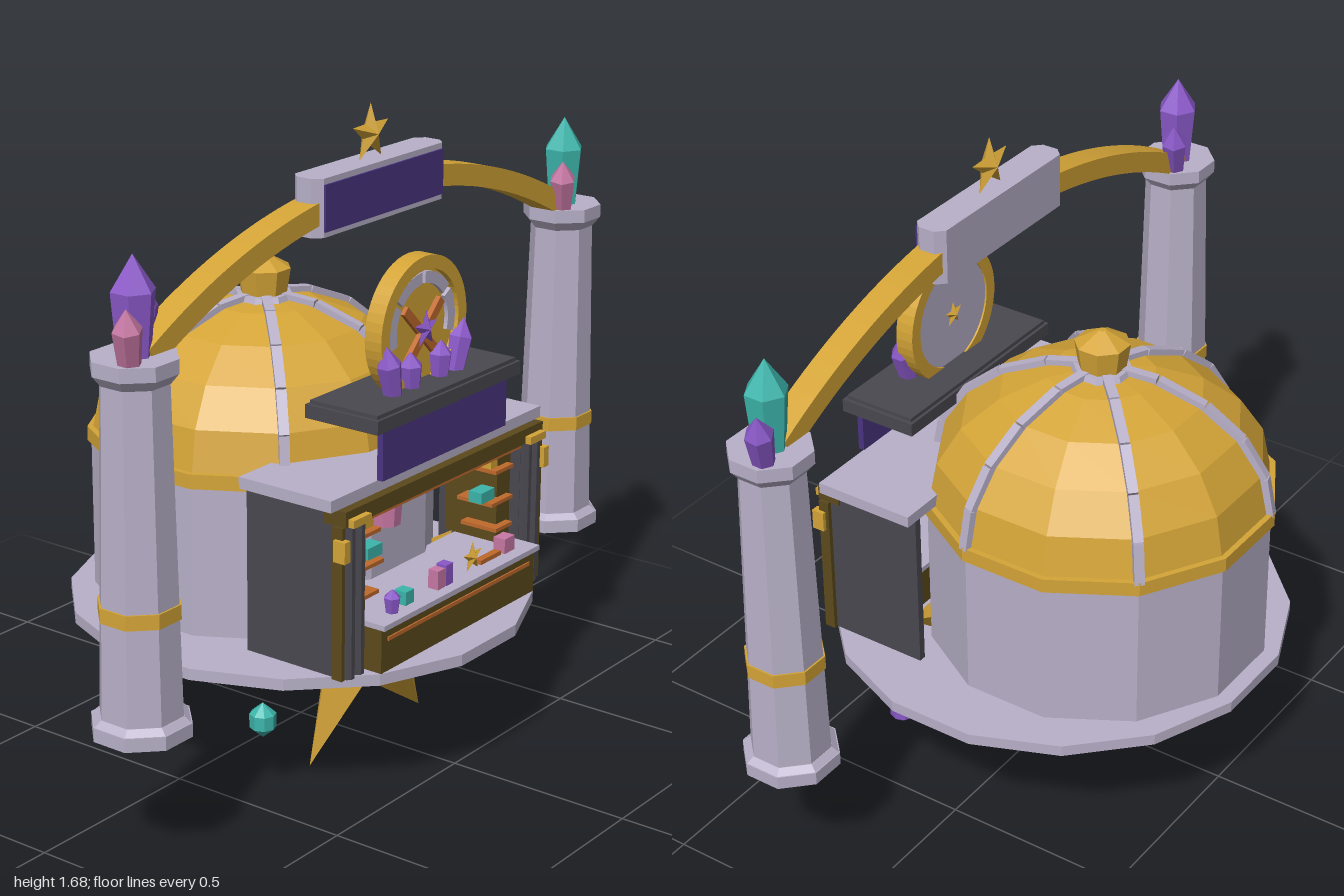
import * as THREE from 'three';

const mat = (name, color) => Object.assign(new THREE.MeshStandardMaterial({ color }), { name });
const M = {
  stone: mat('lavender stone', 0xb8b0c8),
  gold: mat('gold', 0xd4a437),
  slate: mat('dark slate', 0x4a4850),
  violet: mat('deep violet', 0x4a3480),
  purple: mat('purple crystal', 0x8a58c8),
  teal: mat('teal crystal', 0x3cb5ab),
  pink: mat('pink crystal', 0xc878a5),
  bronze: mat('dark bronze', 0x5c4a1c),
  copper: mat('copper', 0xc06a2c),
};

// Faceted normals
function flat(geo) {
  const g = geo.index ? geo.toNonIndexed() : geo;
  g.computeVertexNormals();
  return g;
}

function add(parent, name, geo, material, x = 0, y = 0, z = 0) {
  const m = new THREE.Mesh(flat(geo), material);
  m.name = name;
  m.position.set(x, y, z);
  parent.add(m);
  return m;
}

// Box given by its limits on each axis
function box(parent, name, material, x0, x1, y0, y1, z0, z1) {
  return add(parent, name, new THREE.BoxGeometry(Math.abs(x1 - x0), y1 - y0, z1 - z0), material,
    (x0 + x1) / 2, (y0 + y1) / 2, (z0 + z1) / 2);
}

// Prism between two heights, with flat sides facing the axes
function prism(parent, name, material, sides, r0, r1, y0, y1, x = 0, z = 0) {
  const g = new THREE.CylinderGeometry(r1, r0, y1 - y0, sides).rotateY(Math.PI / sides);
  return add(parent, name, g, material, x, (y0 + y1) / 2, z);
}

// Five-pointed star with a raised centre on both faces
function starGeometry(R, r, depth) {
  const rim = [], pos = [];
  for (let i = 0; i < 10; i++) {
    const a = Math.PI / 2 + i * Math.PI / 5, q = i % 2 ? r : R;
    rim.push([q * Math.cos(a), q * Math.sin(a), 0]);
  }
  for (let i = 0; i < 10; i++) {
    const p = rim[i], q = rim[(i + 1) % 10];
    pos.push(...p, ...q, 0, 0, depth, ...q, ...p, 0, 0, -depth);
  }
  return new THREE.BufferGeometry().setAttribute('position', new THREE.Float32BufferAttribute(pos, 3));
}

const lathe = (pts, sides) => new THREE.LatheGeometry(pts.map(p => new THREE.Vector2(...p)), sides);

// Pointed six-sided crystal, standing on its base
function crystal(parent, name, material, r, h, x, y, z, tiltX = 0, tiltZ = 0) {
  const m = add(parent, name, lathe([[0, 0], [r * 0.75, 0], [r, h * 0.65], [0, h]], 6), material, x, y, z);
  m.rotation.set(tiltX, 0, tiltZ);
}

// Flat ring sector of given thickness
function arcGeometry(r0, r1, a0, a1, depth, segs = 16) {
  const s = new THREE.Shape();
  s.absarc(0, 0, r1, a0, a1, false);
  s.absarc(0, 0, r0, a1, a0, true);
  return new THREE.ExtrudeGeometry(s, { depth, bevelEnabled: false, curveSegments: segs });
}

const CZ = -0.12, PZ = 0.215;

function buildDome(root) {
  const g = new THREE.Group();
  g.name = 'domedHall';
  g.position.z = CZ;
  root.add(g);
  prism(g, 'drumWall', M.stone, 12, 0.45, 0.45, 0.37, 0.77);
  prism(g, 'domeRim', M.gold, 12, 0.46, 0.46, 0.765, 0.803);
  const R = 0.445, H = 0.345, n = 5;
  add(g, 'dome', new THREE.SphereGeometry(1, 12, n, 0, Math.PI * 2, 0, Math.PI / 2)
    .scale(R, H, R).rotateY(Math.PI / 12), M.gold, 0, 0.8, 0);
  prism(g, 'finialCollar', M.stone, 8, 0.085, 0.075, 1.125, 1.15);
  prism(g, 'finial', M.gold, 8, 0.06, 0.072, 1.14, 1.215);
  prism(g, 'finialTip', M.gold, 8, 0.072, 0.01, 1.215, 1.25);

  // Stone ribs over every second dome edge
  for (let k = 0; k < 6; k++) {
    const rib = new THREE.Group();
    rib.name = 'domeRib';
    rib.rotation.y = Math.PI / 4 + k * Math.PI / 3;
    g.add(rib);
    for (let i = 0; i < n; i++) {
      const a = i / n * Math.PI / 2, b = (i + 0.9) / n * Math.PI / 2;
      const x0 = R * Math.cos(a), x1 = R * Math.cos(b), y0 = H * Math.sin(a), y1 = H * Math.sin(b);
      const seg = add(rib, 'ribSegment', new THREE.BoxGeometry(Math.hypot(x1 - x0, y1 - y0) + 0.012, 0.028, 0.026),
        M.stone, (x0 + x1) / 2, 0.8 + (y0 + y1) / 2, 0);
      seg.rotation.z = Math.atan2(y1 - y0, x1 - x0);
    }
  }
}

function buildStall(root) {
  const g = new THREE.Group();
  g.name = 'stall';
  root.add(g);
  box(g, 'stallRoof', M.stone, -0.45, 0.45, 0.805, 0.835, 0.16, 0.44);
  box(g, 'lintel', M.bronze, -0.425, 0.425, 0.765, 0.805, 0.40, 0.465);
  box(g, 'lintelTrim', M.copper, -0.33, 0.33, 0.757, 0.766, 0.44, 0.462);
  box(g, 'counter', M.bronze, -0.335, 0.335, 0.37, 0.486, 0.30, 0.507);
  box(g, 'counterTop', M.stone, -0.34, 0.34, 0.486, 0.5, 0.29, 0.52);
  box(g, 'counterStripe', M.copper, -0.31, 0.31, 0.45, 0.46, 0.505, 0.511);
  for (const s of [-1, 1]) {
    box(g, 'sideWall', M.slate, s * 0.4, s * 0.42, 0.37, 0.805, 0.16, 0.45);
    box(g, 'cornerPost', M.slate, s * 0.345, s * 0.418, 0.37, 0.765, 0.40, 0.45);
    for (const x of [0.362, 0.4]) prism(g, 'postColumn', M.slate, 8, 0.017, 0.017, 0.37, 0.765, s * x, 0.455);
    box(g, 'edgeStrip', M.bronze, s * 0.42, s * 0.432, 0.37, 0.765, 0.43, 0.46);
    box(g, 'postCap', M.gold, s * 0.345, s * 0.415, 0.765, 0.785, 0.45, 0.482);
    box(g, 'lampBracket', M.gold, s * 0.42, s * 0.442, 0.68, 0.735, 0.44, 0.475);
    box(g, 'innerPanel', M.bronze, s * 0.285, s * 0.345, 0.5, 0.765, 0.26, 0.42);
    for (const [y, x] of [[0.545, 0.255], [0.62, 0.235], [0.705, 0.25]])
      box(g, 'shelf', M.copper, s * x, s * 0.33, y - 0.005, y + 0.005, 0.33, 0.44);
    box(g, 'shelfTealJar', M.teal, s * 0.215, s * 0.275, 0.625, 0.655, 0.38, 0.42);
    box(g, 'shelfGoldJar', M.gold, s * 0.255, s * 0.285, 0.71, 0.735, 0.38, 0.42);
  }

  // Goods on show
  crystal(g, 'counterCrystal', M.purple, 0.022, 0.06, -0.255, 0.5, 0.48);
  box(g, 'tealBox', M.teal, -0.205, -0.17, 0.5, 0.535, 0.45, 0.485);
  box(g, 'pinkBottle', M.pink, -0.075, -0.045, 0.5, 0.55, 0.46, 0.49);
  box(g, 'purpleBottle', M.purple, -0.04, -0.01, 0.5, 0.555, 0.46, 0.49);
  add(g, 'counterStar', starGeometry(0.042, 0.018, 0.012), M.gold, 0.09, 0.535, 0.48);
  box(g, 'copperTool', M.copper, 0.13, 0.22, 0.5, 0.512, 0.46, 0.48);
  box(g, 'pinkBox', M.pink, 0.23, 0.275, 0.5, 0.54, 0.45, 0.485);
  prism(g, 'pinkMug', M.pink, 8, 0.036, 0.04, 0.675, 0.73, -0.145, 0.38);
  add(g, 'pendant', lathe([[0, 0], [0.03, 0.02], [0, 0.03]], 6), M.purple, -0.01, 0.737, 0.43);

  // Sign with its dark hood
  box(g, 'signPanel', M.violet, -0.265, 0.265, 0.835, 0.965, 0.438, 0.455);
  box(g, 'signHood', M.slate, -0.305, 0.305, 0.965, 1.0, 0.25, 0.468);
  box(g, 'signHoodTop', M.slate, -0.295, 0.295, 1.0, 1.01, 0.258, 0.46);
  for (const [x, h, r, t] of [[-0.135, 0.14, 0.032, 0.22], [-0.06, 0.1, 0.03, 0.05], [0.06, 0.1, 0.03, -0.05], [0.125, 0.14, 0.032, -0.28]])
    crystal(g, 'signCrystal', M.purple, r, h, x, 1.0, 0.39, 0, t);
}

function buildWheel(root) {
  const g = new THREE.Group();
  g.name = 'emblemWheel';
  g.position.set(0, 1.147, 0.335);
  root.add(g);
  const disc = (r, d) => new THREE.CylinderGeometry(r, r, d, 24).rotateX(Math.PI / 2);
  add(g, 'wheelRim', arcGeometry(0.145, 0.18, 0, Math.PI * 2, 0.05, 24), M.gold);
  add(g, 'wheelBack', disc(0.15, 0.02), M.stone, 0, 0, 0.015);
  add(g, 'wheelFace', disc(0.147, 0.008), M.gold, 0, 0, 0.029);
  for (let i = 0; i < 4; i++)
    add(g, 'wheelArc', arcGeometry(0.108, 0.138, -0.3 + i * 0.95, 0.55 + i * 0.95, 0.012, 6), M.stone, 0, 0, 0.032);
  for (const s of [-1, 1]) {
    const bar = add(g, 'crossedBar', new THREE.BoxGeometry(0.2, 0.024, 0.014), M.copper, 0, -0.015, 0.042 + s * 0.004);
    bar.rotation.z = s * 0.78;
  }
  add(g, 'wheelStar', starGeometry(0.05, 0.022, 0.014), M.purple, 0, -0.005, 0.054);
  add(g, 'wheelBackStar', starGeometry(0.035, 0.015, 0.012), M.gold, 0, 0, 0.002);
}

function buildPillar(root, s) {
  const g = new THREE.Group();
  g.name = s < 0 ? 'rightPillar' : 'leftPillar';
  g.position.set(s * 0.882, 0, PZ);
  root.add(g);
  prism(g, 'pillarBase', M.stone, 8, 0.125, 0.125, 0.34, 0.375);
  prism(g, 'pillarFoot', M.stone, 8, 0.122, 0.105, 0.375, 0.39);
  prism(g, 'pillarShaft', M.stone, 8, 0.104, 0.084, 0.38, 1.215);
  prism(g, 'pillarBand', M.gold, 8, 0.102, 0.102, 0.633, 0.67);
  prism(g, 'capitalFlare', M.stone, 8, 0.085, 0.105, 1.2, 1.225);
  prism(g, 'capital', M.stone, 8, 0.106, 0.106, 1.225, 1.26);
  crystal(g, 'tallCrystal', s < 0 ? M.purple : M.teal, 0.054, 0.24, 0, 1.255, 0);
  crystal(g, 'frontCrystal', M.pink, 0.036, 0.15, -0.055, 1.25, 0.035, 0.12, 0.2);
  crystal(g, 'backCrystal', M.purple, 0.036, 0.16, 0.058, 1.25, -0.03, -0.12, -0.24);
}

function buildArch(root) {
  const a = 0.515;
  add(root, 'arch', arcGeometry(1.714, 1.77, Math.PI / 2 - a, Math.PI / 2 + a, 0.072, 20), M.gold, 0, -0.264, PZ - 0.036);

  // Name board with chamfered ends, and its star
  const w = 0.265, d = 0.044, c = 0.022;
  const s = new THREE.Shape([[-w, -d + c], [-w + c, -d], [w - c, -d], [w, -d + c], [w, d - c], [w - c, d], [-w + c, d], [-w, d - c]]
    .map(p => new THREE.Vector2(...p)));
  const board = new THREE.ExtrudeGeometry(s, { depth: 0.145, bevelEnabled: false }).rotateX(-Math.PI / 2);
  add(root, 'archBoard', board, M.stone, 0, 1.402, PZ);
  box(root, 'archBoardPanel', M.violet, -0.243, 0.243, 1.416, 1.532, PZ + 0.04, PZ + 0.049);
  add(root, 'topStar', starGeometry(0.076, 0.032, 0.025), M.gold, 0, 1.608, PZ);
}

export function createModel() {
  const root = new THREE.Group();
  root.name = 'floatingMarketHall';
  prism(root, 'baseDisc', M.stone, 16, 0.608, 0.608, 0.34, 0.37);
  buildDome(root);
  buildStall(root);
  buildWheel(root);
  for (const s of [-1, 1]) buildPillar(root, s);
  buildArch(root);

  // Star keel and hanging crystals under the disc
  add(root, 'keelStar', starGeometry(0.408, 0.175, 0.11), M.gold, 0, 0.33, PZ);
  add(root, 'keelGem', starGeometry(0.12, 0.06, 0.14), M.purple, 0, 0.335, PZ);
  for (const s of [-1, 1])
    add(root, 'hangingCrystal', lathe([[0, -0.047], [0.034, -0.018], [0.034, 0.018], [0, 0.047]], 8),
      s < 0 ? M.teal : M.purple, s * 0.43, 0.2, PZ);
  return root;
}
